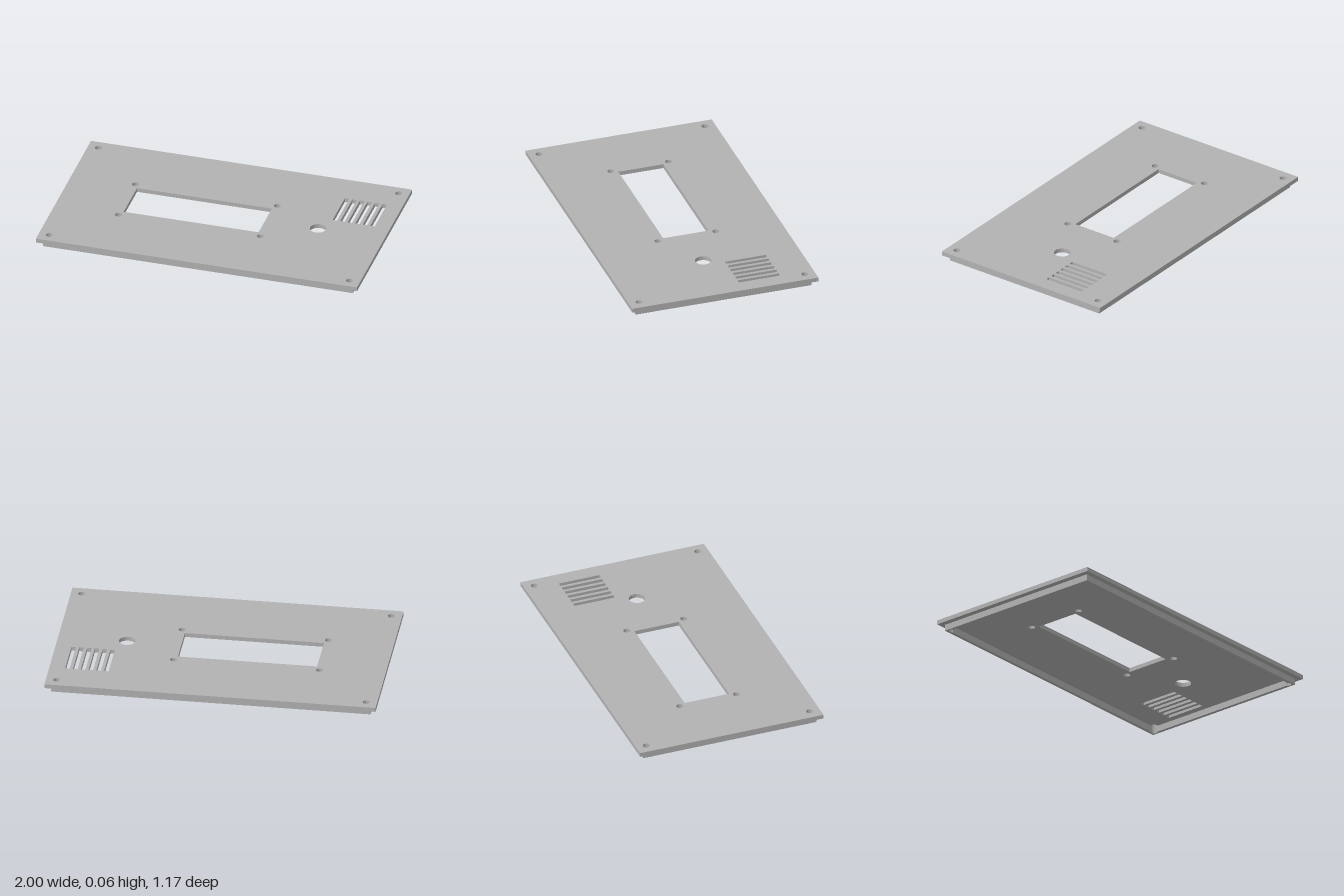
import * as THREE from 'three';
import { toCreasedNormals } from 'three/addons/utils/BufferGeometryUtils.js';

const SCREW = { x: 0.935, z: 0.523, r: 0.021 };

function rectPath(path, x0, z0, x1, z1) {
  path.moveTo(x0, z0);
  path.lineTo(x1, z0);
  path.lineTo(x1, z1);
  path.lineTo(x0, z1);
  path.closePath();
  return path;
}

const circlePath = (x, z, r) => new THREE.Path().absarc(x, z, r, 0, Math.PI * 2, true);

// Shapes are drawn in (x, z) and extruded downwards from the given height
function slab(name, shape, top, depth, material) {
  const geometry = new THREE.ExtrudeGeometry(shape, { depth, bevelEnabled: false, curveSegments: 20 });
  geometry.rotateX(Math.PI / 2).translate(0, top, 0);
  const mesh = new THREE.Mesh(toCreasedNormals(geometry, 0.6), material);
  mesh.name = name;
  return mesh;
}

// Inner outline of the rim, with each corner notched by its screw hole
function rimOpening(ix, iz) {
  const { x, z, r } = SCREW;
  const dx = Math.sqrt(r * r - (iz - z) ** 2);
  const dz = Math.sqrt(r * r - (ix - x) ** 2);
  const start = Math.atan2(-dz, ix - x);
  const end = Math.atan2(iz - z, -dx);
  const points = [];
  for (const [sx, sz] of [[1, 1], [-1, 1], [-1, -1], [1, -1]]) {
    const arc = [];
    for (let i = 0; i <= 12; i++) {
      const a = start + (end - start) * i / 12;
      arc.push(new THREE.Vector2(sx * (x + r * Math.cos(a)), sz * (z + r * Math.sin(a))));
    }
    if (sx * sz < 0) arc.reverse();
    points.push(...arc);
  }
  return new THREE.Path(points);
}

export function createModel() {
  const group = new THREE.Group();
  group.name = 'panelLid';
  const grey = new THREE.MeshStandardMaterial({ color: 0xb2b2b2 });
  grey.name = 'panel grey';

  // Cover plate
  const plate = rectPath(new THREE.Shape(), -1, -0.587, 1, 0.587);

  // Display window and its four mounting holes
  plate.holes.push(rectPath(new THREE.Path(), -0.583, -0.142, 0.257, 0.142));
  for (const x of [-0.604, 0.279])
    for (const z of [-0.182, 0.182]) plate.holes.push(circlePath(x, z, 0.021));

  // Corner screw holes
  for (const sx of [-1, 1])
    for (const sz of [-1, 1]) plate.holes.push(circlePath(sx * SCREW.x, sz * SCREW.z, SCREW.r));

  // Knob hole
  plate.holes.push(circlePath(0.585, 0, 0.049));

  // Ventilation slots
  for (let i = 0; i < 6; i++) {
    const x = 0.642 + i * 0.047;
    plate.holes.push(rectPath(new THREE.Path(), x, -0.378, x + 0.027, -0.118));
  }
  group.add(slab('coverPlate', plate, 0.065, 0.026, grey));

  // Locating rim underneath
  const rim = rectPath(new THREE.Shape(), -0.965, -0.554, 0.965, 0.554);
  rim.holes.push(rimOpening(0.945, 0.534));
  group.add(slab('locatingRim', rim, 0.039, 0.039, grey));

  return group;
}
